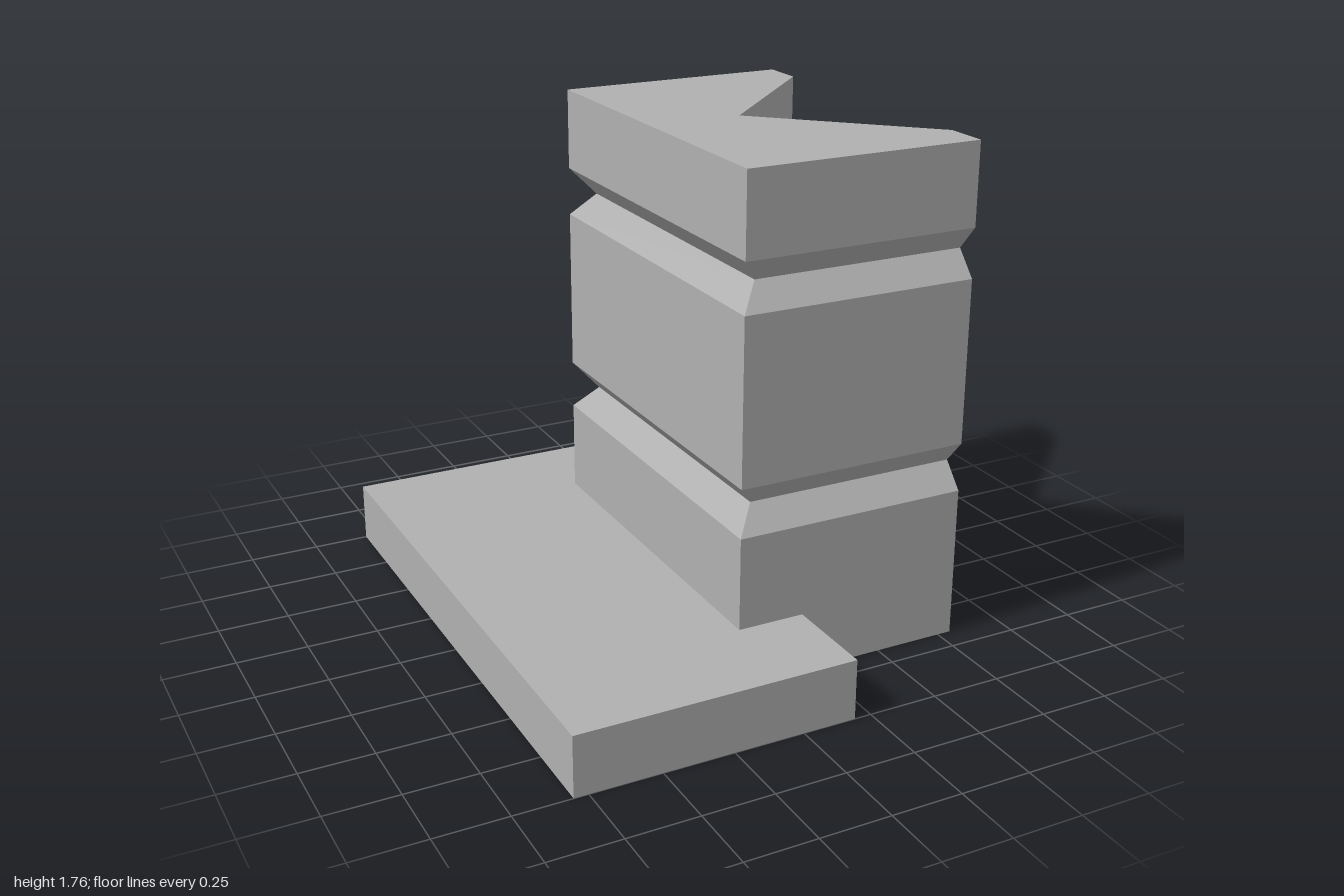
import * as THREE from 'three';
import { toCreasedNormals } from 'three/addons/utils/BufferGeometryUtils.js';

const BASE_TOP = 0.215, POCKET = 0.14, CX = -0.305;

// Block outline with a V notch on +x; the other three sides can be inset
function outline(x0, d) {
  return [[x0 + d, 0.66 - d], [0.8, 0.66 - d], [0.8, 0.505], [0.29, 0],
    [0.8, -0.505], [0.8, -0.66 + d], [x0 + d, -0.66 + d]];
}

// Loft of the outline through [height, inset] levels, capped at both ends
function notchedBlock(x0, levels) {
  const pos = [];
  const rings = levels.map(([y, d]) => outline(x0, d).map(([x, z]) => [x, y, z]));
  for (let k = 0; k < rings.length - 1; k++) {
    const lo = rings[k], hi = rings[k + 1];
    lo.forEach((a, i) => {
      const j = (i + 1) % lo.length;
      pos.push(...a, ...lo[j], ...hi[j], ...a, ...hi[j], ...hi[i]);
    });
  }
  const flat = outline(x0, 0).map(([x, z]) => new THREE.Vector2(x, -z));
  const top = rings[rings.length - 1], bottom = rings[0];
  for (const [a, b, c] of THREE.ShapeUtils.triangulateShape(flat, [])) {
    pos.push(...top[a], ...top[b], ...top[c], ...bottom[a], ...bottom[c], ...bottom[b]);
  }
  const geo = new THREE.BufferGeometry();
  geo.setAttribute('position', new THREE.Float32BufferAttribute(pos, 3));
  geo.computeVertexNormals();
  return geo;
}

// Underside frame: eight pockets whose corners wrap three round sockets
function undersideFrame() {
  const shape = new THREE.Shape([[-0.8, -1], [0.19, -1], [0.19, 1], [-0.8, 1]]
    .map(([x, y]) => new THREE.Vector2(x, y)));
  const RIB = 0.04, R = 0.2, t = Math.asin(RIB / R);
  for (const z of [-0.5, 0, 0.5]) {
    shape.holes.push(new THREE.Path().absarc(CX, z, 0.138, 0, Math.PI * 2, true));
  }
  for (const s of [-1, 1]) {
    for (const zc of [-0.75, -0.25, 0.25, 0.75]) {
      const pts = [];
      const xi = CX + s * RIB, xo = CX + s * 0.415;
      for (const e of [-1, 1]) {
        const tube = zc + e * 0.25;
        const edge = Math.abs(tube) > 0.9;
        const z = edge ? e * 0.92 : tube - e * RIB;
        const corner = [[xo, z]];
        if (edge) corner.push([xi, z]);
        else for (let i = 0; i <= 8; i++) {
          const a = t + (Math.PI / 2 - 2 * t) * i / 8;
          corner.push([CX + s * R * Math.cos(a), tube - e * R * Math.sin(a)]);
        }
        pts.push(...(e < 0 ? corner : corner.reverse()));
      }
      shape.holes.push(new THREE.Path(pts.map(([x, y]) => new THREE.Vector2(x, y))));
    }
  }
  const geo = new THREE.ExtrudeGeometry(shape, { depth: POCKET, bevelEnabled: false, curveSegments: 16 });
  geo.rotateX(-Math.PI / 2);
  return toCreasedNormals(geo, 0.6);
}

export function createModel() {
  const group = new THREE.Group();
  const grey = new THREE.MeshStandardMaterial({ color: 0xb0b0b0 });
  grey.name = 'stone grey';
  const add = (name, geo) => {
    const mesh = new THREE.Mesh(geo, grey);
    mesh.name = name;
    group.add(mesh);
  };

  // Base plate: solid top over the hollowed underside
  const plate = new THREE.BoxGeometry(0.99, BASE_TOP - POCKET, 2);
  plate.translate(CX, (BASE_TOP + POCKET) / 2, 0);
  add('basePlate', plate);
  add('baseUnderside', undersideFrame());

  // Column foot beside the plate, then the grooved column above it
  add('columnFoot', notchedBlock(0.19, [[0, 0], [BASE_TOP, 0]]));
  const levels = [[BASE_TOP, 0]];
  for (const y of [0.63, 1.387]) levels.push([y - 0.087, 0], [y, 0.075], [y + 0.087, 0]);
  levels.push([1.763, 0]);
  add('groovedColumn', notchedBlock(-0.05, levels));

  return group;
}
